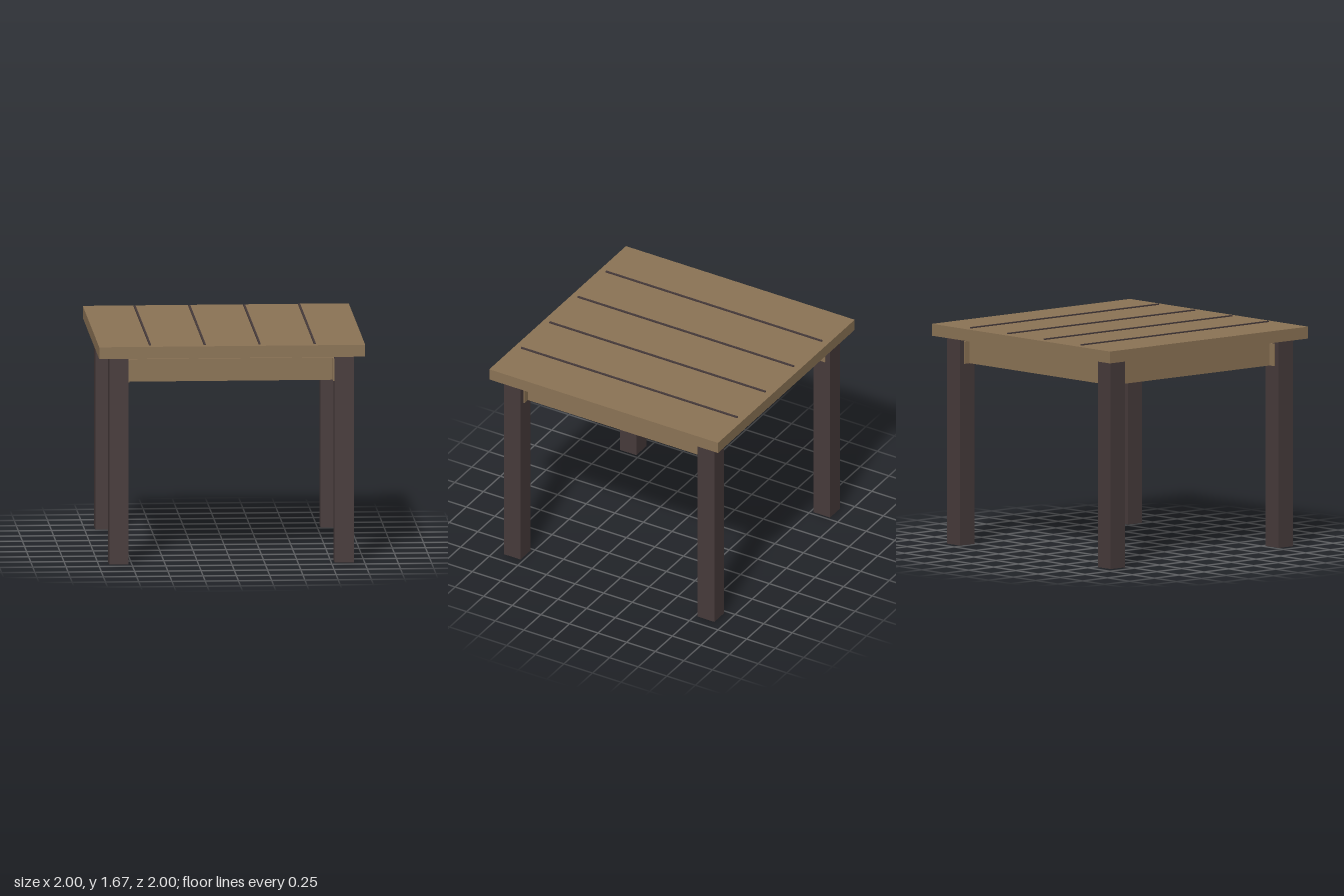
import * as THREE from 'three';

export function createModel() {
  const wood = new THREE.MeshStandardMaterial({ color: 0x8b7355 });
  wood.name = 'brown wood';
  const dark = new THREE.MeshStandardMaterial({ color: 0x463a3a });
  dark.name = 'dark wood';

  const table = new THREE.Group();
  table.name = 'table';

  // Box given by its size, centre in x and z, and underside height
  function box(name, material, w, h, d, x, y, z) {
    const mesh = new THREE.Mesh(new THREE.BoxGeometry(w, h, d), material);
    mesh.name = name;
    mesh.position.set(x, y + h / 2, z);
    table.add(mesh);
  }

  // Square top
  box('tableTop', wood, 2, 0.09, 2, 0, 1.575, 0);

  // Thin dark strips marking the plank seams
  for (const x of [-0.614, -0.203, 0.21, 0.624]) {
    box('plankSeam', dark, 0.015, 0.009, 1.89, x, 1.665, 0);
  }

  // Four legs
  for (const sx of [-1, 1]) {
    for (const sz of [-1, 1]) {
      box('leg', dark, 0.145, 1.575, 0.145, sx * 0.847, 0, sz * 0.847);
    }
  }

  // Aprons crossing at the corners, set just below the top
  for (const s of [-1, 1]) {
    box(s > 0 ? 'frontApron' : 'backApron', wood, 1.76, 0.17, 0.065, 0, 1.375, s * 0.7975);
    box(s > 0 ? 'leftApron' : 'rightApron', wood, 0.065, 0.17, 1.76, s * 0.7975, 1.375, 0);
  }

  return table;
}
